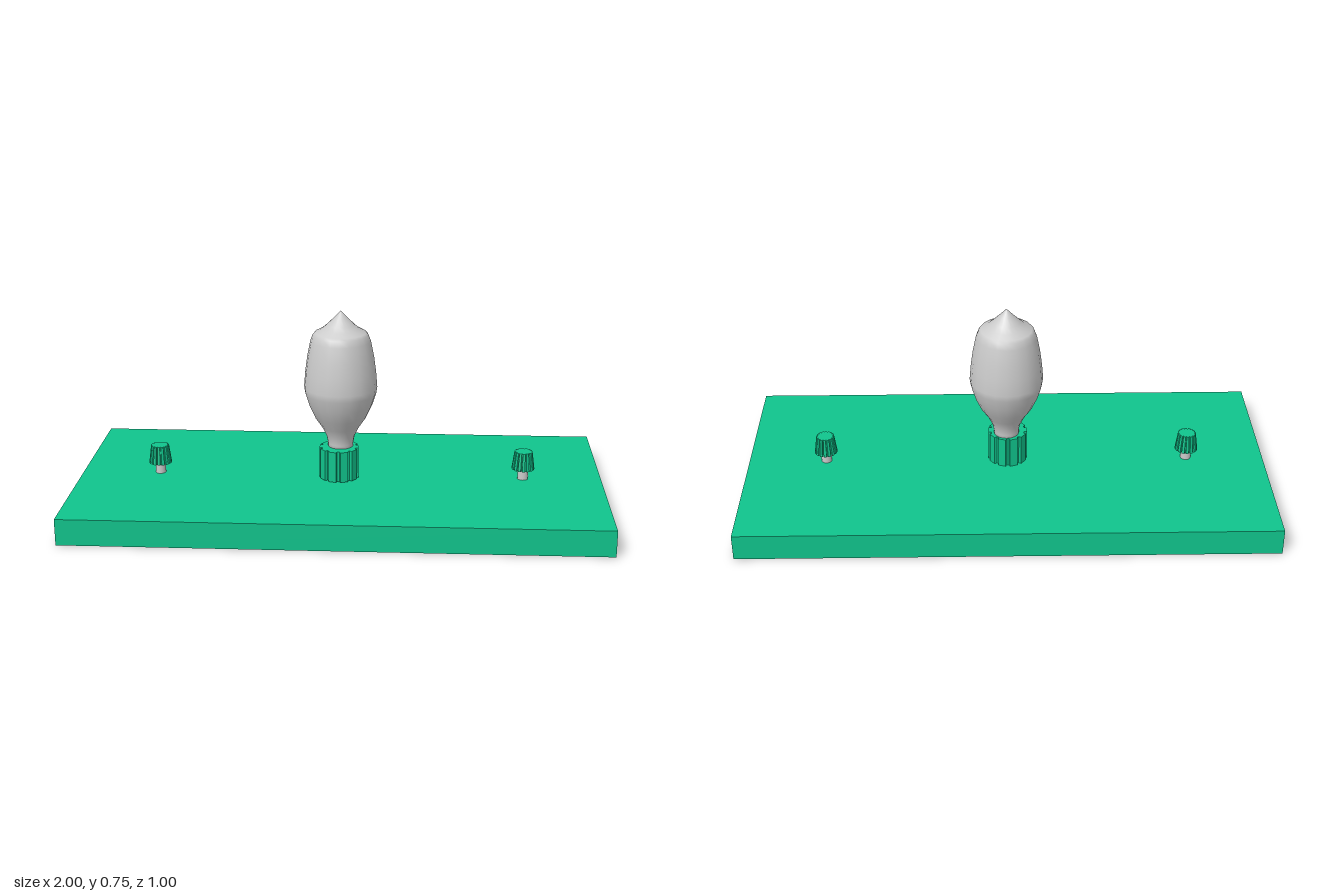
import * as THREE from 'three';

const green = new THREE.MeshStandardMaterial({ color: 0x10c48c, flatShading: true });
const grey = new THREE.MeshStandardMaterial({ color: 0xcccccc });

function add(parent, name, geometry, material, x = 0, y = 0, z = 0) {
  const mesh = new THREE.Mesh(geometry, material);
  mesh.name = name;
  mesh.position.set(x, y, z);
  parent.add(mesh);
  return mesh;
}

// Upright prism with square-cut teeth; topScale tapers it towards the top
function flutedPrism(teeth, outer, inner, height, topScale = 1) {
  const shape = new THREE.Shape();
  const step = (Math.PI * 2) / teeth;
  for (let i = 0; i < teeth; i++) {
    [[-0.32, outer], [0.32, outer], [0.4, inner], [0.6, inner]].forEach(([t, r], k) => {
      const a = (i + t) * step;
      const x = Math.cos(a) * r, y = Math.sin(a) * r;
      if (i === 0 && k === 0) shape.moveTo(x, y);
      else shape.lineTo(x, y);
    });
  }
  shape.closePath();
  const geometry = new THREE.ExtrudeGeometry(shape, { depth: height, bevelEnabled: false });
  geometry.rotateX(-Math.PI / 2);
  const p = geometry.attributes.position;
  for (let i = 0; i < p.count; i++) {
    const s = 1 + (topScale - 1) * (p.getY(i) / height);
    p.setXYZ(i, p.getX(i) * s, p.getY(i), p.getZ(i) * s);
  }
  geometry.computeVertexNormals();
  return geometry;
}

export function createModel() {
  const model = new THREE.Group();
  model.name = 'lampBoard';

  // Base board
  add(model, 'baseBoard', new THREE.BoxGeometry(2, 0.1, 1), green, 0, 0.05, 0);

  // Fluted bulb socket, slightly off the board's centre
  add(model, 'socket', flutedPrism(10, 0.076, 0.066, 0.12), green, -0.005, 0.103, 0.015);

  // Pointed bulb
  const profile = [
    [0, 0.2], [0.048, 0.2], [0.048, 0.235], [0.054, 0.265], [0.071, 0.3],
    [0.098, 0.34], [0.121, 0.39], [0.135, 0.435], [0.139, 0.46], [0.134, 0.52],
    [0.126, 0.58], [0.114, 0.64], [0.105, 0.663], [0.097, 0.672], [0.073, 0.684],
    [0.052, 0.702], [0.026, 0.728], [0, 0.755],
  ].map(([r, y]) => new THREE.Vector2(r, y));
  add(model, 'bulb', new THREE.LatheGeometry(profile, 20), grey);

  // Terminal posts with tapered ribbed knobs
  for (const side of [-1, 1]) {
    const terminal = new THREE.Group();
    terminal.name = side > 0 ? 'leftTerminal' : 'rightTerminal';
    terminal.position.set(side * 0.7, 0.1, 0);
    add(terminal, 'post', new THREE.CylinderGeometry(0.02, 0.02, 0.08, 20), grey, 0, 0.04, 0);
    add(terminal, 'knob', flutedPrism(16, 0.044, 0.037, 0.07, 0.78), green, 0, 0.041, 0);
    model.add(terminal);
  }
  return model;
}
